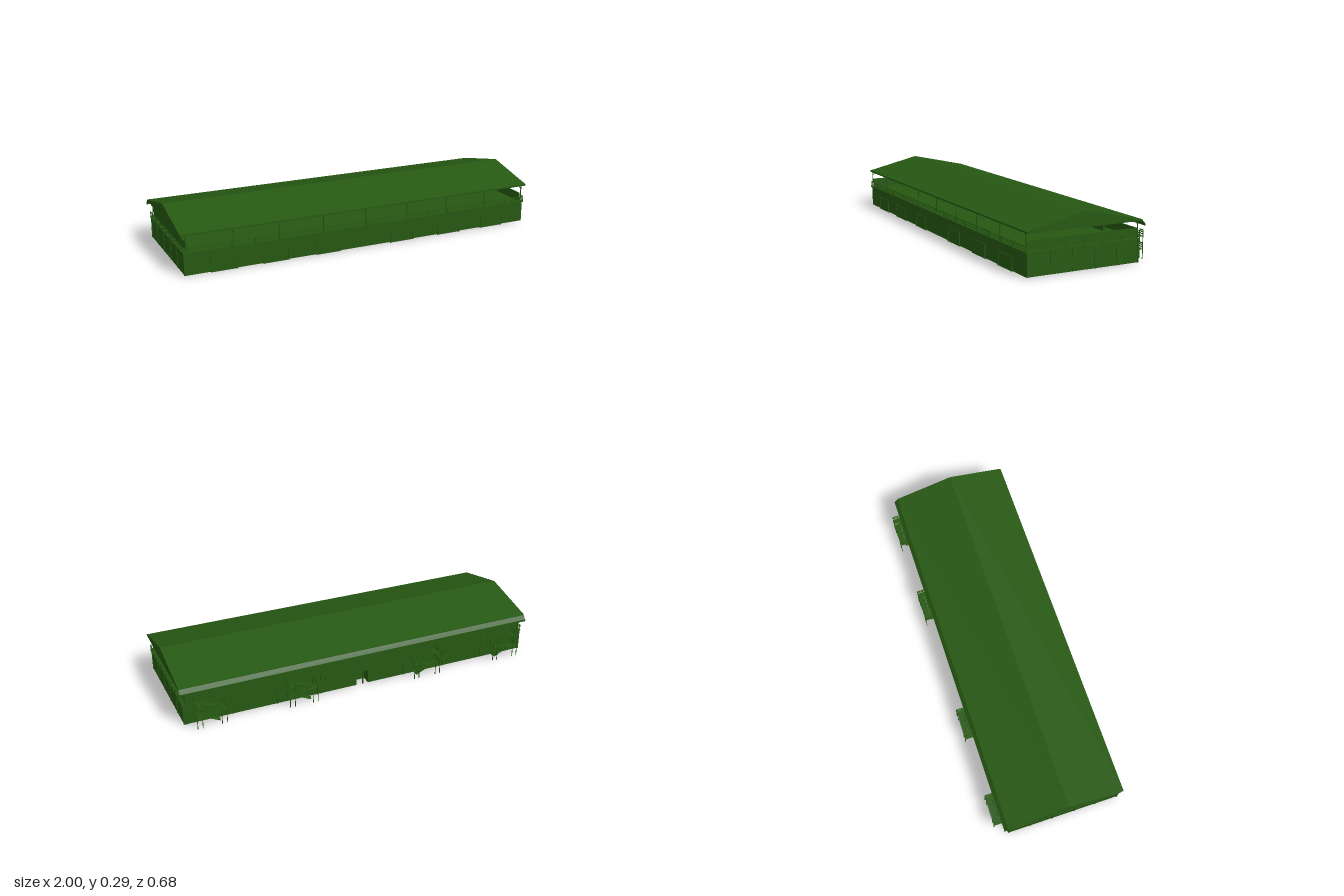
import * as THREE from 'three';

const green = new THREE.MeshStandardMaterial({ color: 0x265812, flatShading: true, side: THREE.DoubleSide });

// Box given by its min/max limits on each axis
function box(parent, name, x0, x1, y0, y1, z0, z1) {
  const m = new THREE.Mesh(new THREE.BoxGeometry(x1 - x0, y1 - y0, z1 - z0), green);
  m.name = name;
  m.position.set((x0 + x1) / 2, (y0 + y1) / 2, (z0 + z1) / 2);
  parent.add(m);
  return m;
}

// Square bar between two points
function bar(parent, name, a, b, t = 0.003) {
  const p = new THREE.Vector3(...a), q = new THREE.Vector3(...b);
  const m = new THREE.Mesh(new THREE.BoxGeometry(t, t, p.distanceTo(q)), green);
  m.name = name;
  m.position.copy(p).add(q).multiplyScalar(0.5);
  m.lookAt(q);
  parent.add(m);
  return m;
}

function group(parent, name) {
  const g = new THREE.Group();
  g.name = name;
  parent.add(g);
  return g;
}

const W = 0.98, ZF = 0.335, ZB = -0.278, Y0 = 0.004, DECK = 0.115;

// Railing with posts and horizontal rails
function railing(parent, a, b, y, h, posts, rails) {
  const g = group(parent, 'railing');
  const at = (t, dy) => [a[0] + (b[0] - a[0]) * t, y + dy, a[1] + (b[1] - a[1]) * t];
  for (let i = 0; i <= posts; i++) bar(g, 'railPost', at(i / posts, 0), at(i / posts, h), 0.0025);
  for (let i = 1; i <= rails; i++) bar(g, 'rail', at(0, h * i / rails), at(1, h * i / rails), i === rails ? 0.003 : 0.002);
  return g;
}

// Three-flight outside stair, built around x = 0 against the back wall
function stair() {
  const g = new THREE.Group();
  g.name = 'backStair';
  const zi = -0.281, zm = -0.311, zo = -0.341;
  const levels = [0.004, 0.052, 0.083, 0.117];
  for (let f = 0; f < 3; f++) {
    const [y0, y1] = [levels[f], levels[f + 1]];
    const dir = f % 2 ? -1 : 1;
    const [za, zb] = f % 2 ? [zo, zm] : [zm, zi];
    const n = 7;
    for (let i = 0; i < n; i++) {
      const x = dir * (-0.05 + 0.1 * (i + 0.5) / n), y = y0 + (y1 - y0) * (i + 1) / n;
      box(g, 'tread', x - 0.007, x + 0.007, y - 0.002, y, za + 0.001, zb - 0.001);
      box(g, 'riser', x - dir * 0.007 - 0.0005, x - dir * 0.007 + 0.0005, y - (y1 - y0) / n, y, za + 0.001, zb - 0.001);
    }
    for (const z of [za, zb]) {
      bar(g, 'stringer', [-dir * 0.05, y0, z], [dir * 0.05, y1, z], 0.003);
      for (const h of [0.014, 0.028]) bar(g, 'handrail', [-dir * 0.05, y0 + h, z], [dir * 0.05, y1 + h, z], 0.002);
    }
    // Landing at the head of each flight
    const [xa, xb] = dir > 0 ? [0.05, 0.078] : [-0.078, -0.05];
    box(g, 'landing', xa, xb, y1 - 0.003, y1, zo, zi);
    railing(g, [dir * 0.078, zo], [dir * 0.078, zi], y1, 0.03, 2, 3);
    railing(g, [dir * 0.05, zo], [dir * 0.078, zo], y1, 0.03, 1, 3);
  }
  for (const x of [-0.077, -0.05, 0.05, 0.077]) bar(g, 'stairPost', [x, 0, zo], [x, Math.abs(x) > 0.06 && x < 0 ? 0.113 : 0.147, zo], 0.003);
  return g;
}

export function createModel() {
  const model = new THREE.Group();
  model.name = 'pavilion';

  // Ground storey: open-bottomed shell with an entrance recess at the back
  const base = group(model, 'groundStorey');
  box(base, 'frontWall', -W, W, Y0, DECK, ZF - 0.004, ZF);
  for (const s of [-1, 1]) {
    box(base, 'endWall', s * W - 0.002, s * W + 0.002, Y0, DECK, ZB, ZF);
    box(base, 'backWall', s > 0 ? 0.035 : -W, s > 0 ? W : -0.035, Y0, DECK, ZB, ZB + 0.004);
    box(base, 'recessSide', s * 0.035 - 0.001, s * 0.035 + 0.001, Y0, 0.08, ZB, ZB + 0.05);
    // Pilasters and high windows on the end walls
    for (const z of [0.332, 0.21, 0.09, -0.032, -0.156, -0.276])
      box(base, 'pilaster', s * W - 0.005, s * W + 0.005, Y0, DECK, z - 0.003, z + 0.003);
    for (const z of [-0.187, -0.246])
      box(base, 'endWindow', s * 0.982 - 0.002, s * 0.982 + 0.002, 0.083, 0.1, z - 0.016, z + 0.016);
  }
  box(base, 'recessBack', -0.035, 0.035, Y0, 0.08, ZB + 0.049, ZB + 0.051);
  box(base, 'recessTop', -0.035, 0.035, 0.079, 0.081, ZB, ZB + 0.05);
  box(base, 'recessLintel', -0.035, 0.035, 0.08, DECK, ZB, ZB + 0.004);
  for (let i = 0; i < 9; i++)
    box(base, 'backPilaster', -0.977 + i * 0.243, -0.971 + i * 0.243, Y0, DECK, ZB - 0.003, ZB);
  for (const x of [0.12, 0.2, 0.52, 0.6, 0.68])
    for (const s of [-1, 1])
      box(base, 'backWindow', s * x - 0.016, s * x + 0.016, 0.083, 0.1, ZB - 0.002, ZB);

  // Framed gates along the front
  for (const c of [0.215, 0.505, 0.78])
    for (const s of [-1, 1]) {
      const g = group(base, 'gate'), x = s * c;
      box(g, 'gatePanel', x - 0.066, x + 0.066, 0.001, 0.07, ZF, ZF + 0.002);
      for (const e of [-1, 1]) box(g, 'gateJamb', x + e * 0.068 - 0.002, x + e * 0.068 + 0.002, 0, 0.073, ZF, ZF + 0.004);
      box(g, 'gateHead', x - 0.07, x + 0.07, 0.07, 0.073, ZF, ZF + 0.004);
    }

  // Upper deck, railings and low parapets
  const upper = group(model, 'upperStorey');
  box(upper, 'deck', -0.988, 0.988, DECK, 0.122, ZB - 0.003, 0.342);
  railing(upper, [-0.986, 0.34], [0.986, 0.34], 0.122, 0.027, 16, 4);
  for (const s of [-1, 1]) {
    railing(upper, [s * 0.986, ZB], [s * 0.986, 0.34], 0.122, 0.027, 6, 4);
    box(upper, 'endParapet', s * 0.965 - 0.003, s * 0.965 + 0.003, 0.122, 0.17, ZB, ZF - 0.003);
  }
  box(upper, 'backParapet', -0.965, 0.965, 0.122, 0.17, ZB, ZB + 0.005);

  // Raised panels near the back of the deck
  for (const [c, w] of [[-0.66, 0.11], [0, 0.23], [0.66, 0.11]])
    box(upper, 'raisedPanel', c - w, c + w, 0.122, 0.19, -0.226, -0.218);

  // Roof posts with diagonal braces
  const frame = group(model, 'roofFrame');
  for (let i = 0; i < 9; i++) {
    const x = -0.972 + i * 0.243;
    for (const [z, d] of [[0.336, -1], [-0.276, 1]]) {
      bar(frame, 'roofPost', [x, 0.122, z], [x, 0.212, z], 0.004);
      bar(frame, 'brace', [x, 0.192, z], [x, 0.211, z + d * 0.025], 0.003);
    }
  }

  // Gabled roof
  const shape = new THREE.Shape([
    [-0.342, 0.21], [0.285, 0.21], [0.285, 0.217], [-0.037, 0.289], [-0.342, 0.218],
  ].map(p => new THREE.Vector2(...p)));
  const roofGeo = new THREE.ExtrudeGeometry(shape, { depth: 1.996, bevelEnabled: false });
  roofGeo.translate(0, 0, -0.998).rotateY(Math.PI / 2).rotateY(0);
  const roof = new THREE.Mesh(roofGeo, green);
  roof.name = 'roof';
  roof.scale.z = 1;
  model.add(roof);
  // Raised trim along the sloping gable edges
  for (const s of [-1, 1]) {
    bar(model, 'gableTrim', [s * 0.997, 0.286, 0.037], [s * 0.997, 0.2155, 0.34], 0.005);
    bar(model, 'gableTrim', [s * 0.997, 0.286, 0.037], [s * 0.997, 0.2145, -0.283], 0.005);
  }

  // Drooping canopy strip along the back eave
  const lip = group(model, 'backCanopy');
  const slope = box(lip, 'canopySlope', -0.998, 0.998, -0.0008, 0.0008, -0.014, 0.014);
  slope.position.set(0, 0.203, -0.294);
  slope.rotation.x = -Math.atan2(0.02, 0.018);
  box(lip, 'canopyEdge', -0.998, 0.998, 0.184, 0.194, -0.305, -0.3035);

  // Four outside stairs, mirrored about the centre
  for (const x of [0.36, 0.853])
    for (const s of [-1, 1]) {
      const st = stair();
      st.position.x = s * x;
      st.scale.x = s;
      model.add(st);
    }
  return model;
}
